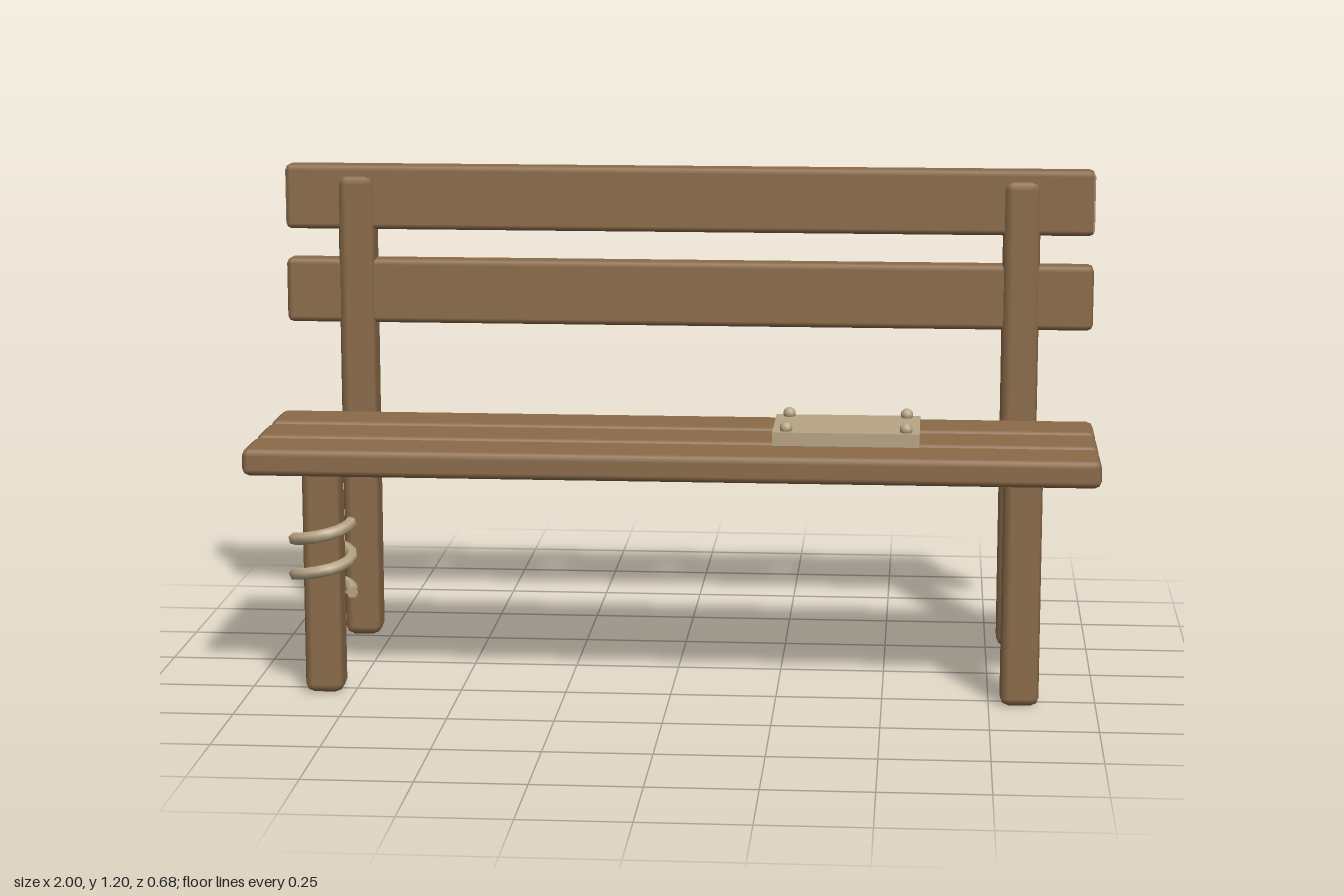
import * as THREE from 'three';
import { RoundedBoxGeometry } from 'three/addons/geometries/RoundedBoxGeometry.js';

export function createModel() {
  const model = new THREE.Group();
  model.name = 'bench';
  const wood = new THREE.MeshStandardMaterial({ color: 0x8b6b49 });
  wood.name = 'wood';
  const tan = new THREE.MeshStandardMaterial({ color: 0xb8a584 });
  tan.name = 'pale tan';

  const add = (name, geometry, material, x, y, z) => {
    const mesh = new THREE.Mesh(geometry, material);
    mesh.name = name;
    mesh.position.set(x, y, z);
    model.add(mesh);
    return mesh;
  };
  const beam = (w, h, d, r) => new RoundedBoxGeometry(w, h, d, 1, r);

  // Seat planks
  [0.261, 0.084, -0.094].forEach((z, i) =>
    add('seatPlank' + (i + 1), beam(2, 0.064, 0.162, 0.016), wood, 0, 0.568, z));

  // Back rails; the top one has pale end grain
  add('lowerBackRail', beam(2, 0.16, 0.066, 0.014), wood, 0, 0.886, -0.294);
  add('topBackRail', beam(2, 0.16, 0.066, 0.014), [tan, tan, wood, wood, wood, wood], 0, 1.12, -0.294);

  // Front legs and tall back posts
  for (const [side, x] of [['left', 0.822], ['right', -0.822]]) {
    add(side + 'FrontLeg', beam(0.09, 0.545, 0.09, 0.02), wood, x, 0.2775, 0.26);
    add(side + 'BackPost', beam(0.09, 1.17, 0.092, 0.022), wood, x, 0.59, -0.293);
  }

  // Plate on the seat with a rivet at each corner
  add('plate', new THREE.BoxGeometry(0.346, 0.032, 0.234), tan, 0.408, 0.616, 0.083);
  const rivet = new THREE.SphereGeometry(0.015, 10, 8);
  for (const x of [0.267, 0.549])
    for (const z of [-0.011, 0.177]) add('rivet', rivet, tan, x, 0.639, z);

  // Rope wound twice around the right front leg
  const points = [];
  const steps = 24;
  for (let i = 0; i <= steps; i++) {
    const t = i / steps;
    const a = -t * Math.PI * 4;
    points.push(new THREE.Vector3(Math.cos(a) * 0.068, 0.243 + t * 0.17, Math.sin(a) * 0.068));
  }
  const rope = new THREE.TubeGeometry(new THREE.CatmullRomCurve3(points), 32, 0.015, 6);
  add('rope', rope, tan, -0.825, 0, 0.26);

  // Rope ends
  const end = new THREE.CircleGeometry(0.015, 6);
  add('ropeLowerEnd', end, tan, -0.757, 0.243, 0.26);
  add('ropeUpperEnd', end, tan, -0.757, 0.413, 0.26).rotation.y = Math.PI;

  return model;
}
